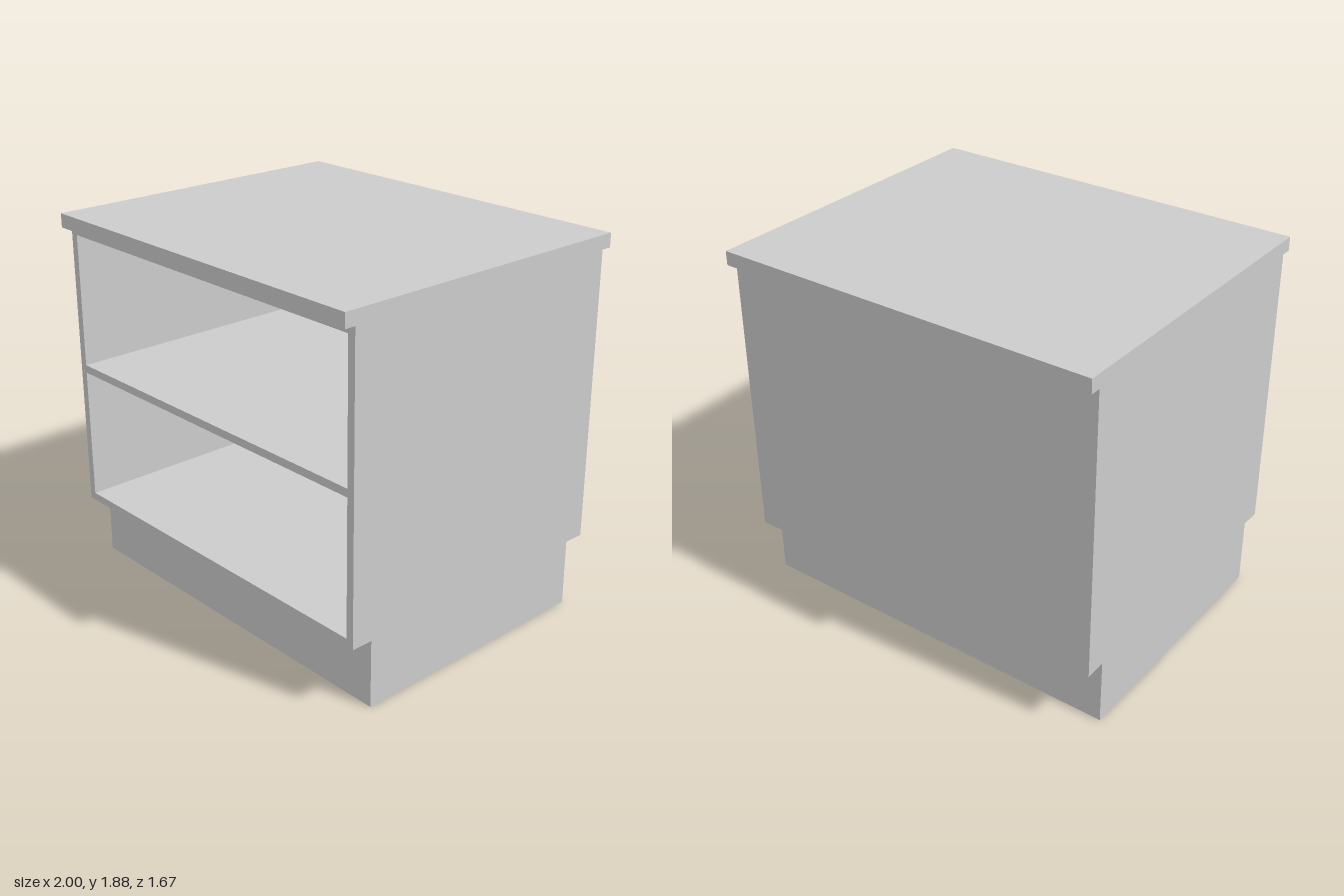
import * as THREE from 'three';

export function createModel() {
  const group = new THREE.Group();
  const material = new THREE.MeshStandardMaterial({ color: 0xcccccc });

  // Adds a box given its min and max corners
  function panel(name, [x0, y0, z0], [x1, y1, z1]) {
    const mesh = new THREE.Mesh(new THREE.BoxGeometry(x1 - x0, y1 - y0, z1 - z0), material);
    mesh.position.set((x0 + x1) / 2, (y0 + y1) / 2, (z0 + z1) / 2);
    mesh.name = name;
    group.add(mesh);
  }

  const t = 0.04; // board thickness
  const bottom = 0.34, top = 1.81, depth = 0.78;
  const inner = 1 - t, back = -depth + t;

  // Recessed base and overhanging top
  panel('plinth', [-1, 0, -0.67], [1, bottom, 0.67]);
  panel('worktop', [-1, top, -0.835], [1, 1.88, 0.835]);

  // Open-fronted carcass: a frame extruded from front to back panel
  const frame = new THREE.Shape([[-1, bottom], [1, bottom], [1, top], [-1, top]].map(p => new THREE.Vector2(...p)));
  frame.holes.push(new THREE.Path(
    [[-inner, bottom + t], [-inner, top - t], [inner, top - t], [inner, bottom + t]].map(p => new THREE.Vector2(...p))));
  const carcass = new THREE.Mesh(
    new THREE.ExtrudeGeometry(frame, { depth: depth - back, bevelEnabled: false }), material);
  carcass.position.z = back;
  carcass.name = 'carcass';
  group.add(carcass);
  panel('backPanel', [-1, bottom, -depth], [1, top, back]);

  // Middle shelf, flush with the front
  panel('shelf', [-inner, 1.055, back], [inner, 1.095, depth]);

  return group;
}
